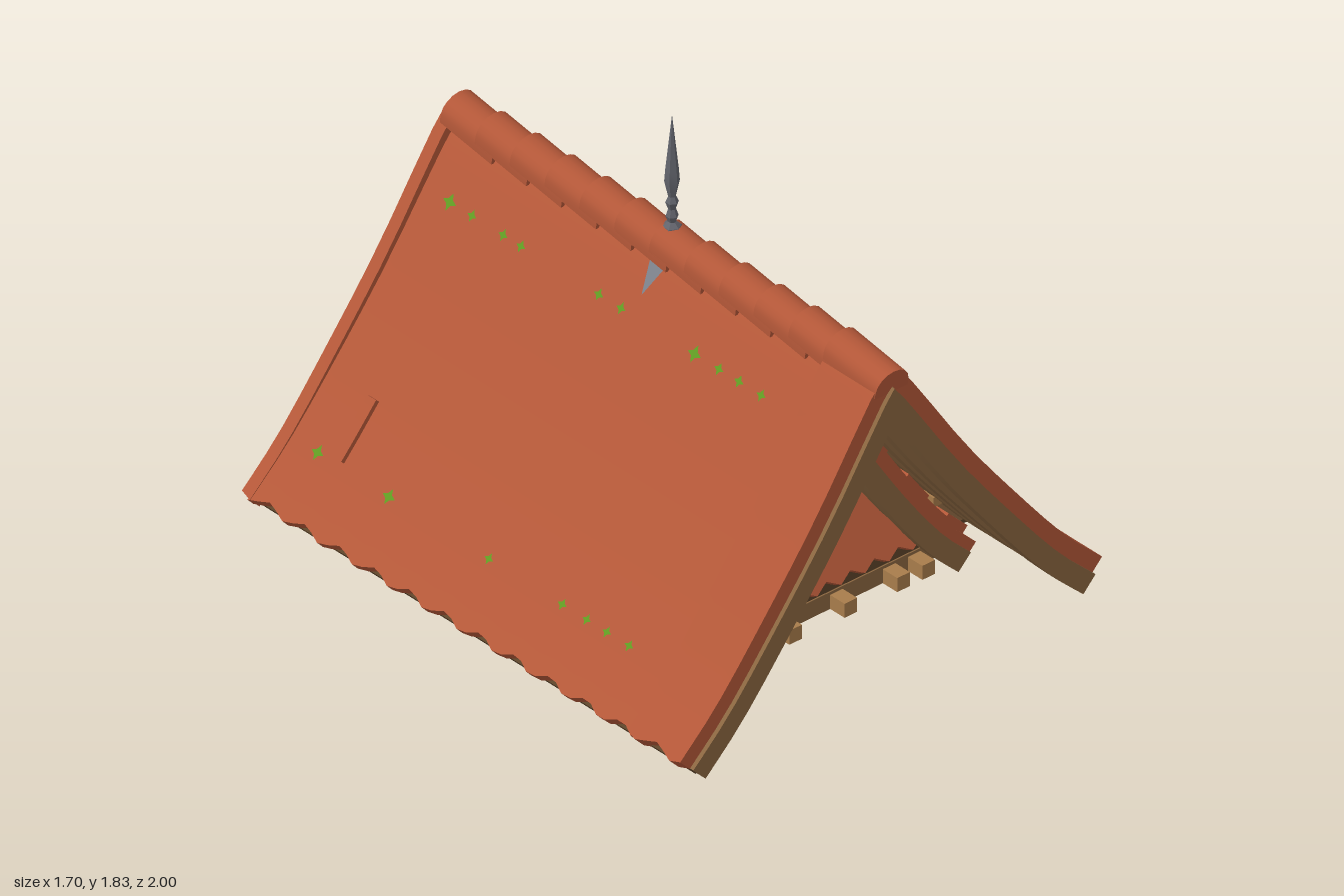
import * as THREE from 'three';
import { toCreasedNormals, mergeGeometries } from 'three/addons/utils/BufferGeometryUtils.js';

const mat = (name, color, side = THREE.FrontSide) => {
  const m = new THREE.MeshStandardMaterial({ color, side });
  m.name = name;
  return m;
};

export function createModel() {
  const model = new THREE.Group();
  const tile = mat('terracotta tile', 0xb35738);
  const wood = mat('wood', 0x8a6640);
  const lightWood = mat('light wood', 0xa87c4b);
  const darkWood = mat('dark wood', 0x5c4329);
  const metal = mat('iron', 0x62646c, THREE.DoubleSide);
  const plateMetal = mat('grey metal', 0x7a7f88, THREE.DoubleSide);
  const leaf = mat('ivy', 0x203b0a, THREE.DoubleSide);
  const moss = mat('moss', 0x5f9a22, THREE.DoubleSide);

  const add = (name, geo, material, parent = model) => {
    const m = new THREE.Mesh(geo, material);
    m.name = name;
    parent.add(m);
    return m;
  };
  const box = (name, w, h, d, x, y, z, material, parent) =>
    add(name, new THREE.BoxGeometry(w, h, d), material, parent).position.set(x, y, z);
  const curve = (...p) => new THREE.SplineCurve(p.map(([x, y]) => new THREE.Vector2(x, y)));

  // Point on a roof profile, shifted along its normal by d
  const offset = (prof, t, d) => {
    const p = prof.getPoint(t), g = prof.getTangent(t);
    let x = p.x - g.y * d, y = p.y + g.x * d;
    if (x < 0) { y -= (g.y / g.x) * x; x = 0; }
    return { x, y, g };
  };

  // Curved slab following a roof profile, between two depths, with optional scalloped eave
  function slab(prof, s, d0, d1, z0, z1, { wave = 0, period = 0.158, t0 = 0, t1 = 1 } = {}) {
    const n = 14, nz = wave ? Math.round((z1 - z0) / period * 4) : 1, L = 2 * (n + 1);
    const pos = [], idx = [];
    for (let j = 0; j <= nz; j++) {
      const z = z0 + (z1 - z0) * j / nz;
      for (let k = 0; k < L; k++) {
        const i = k <= n ? k : L - 1 - k;
        const q = offset(prof, t0 + (t1 - t0) * i / n, k <= n ? d1 : d0);
        const w = i === n ? wave * Math.cos(z / period * Math.PI * 2) : 0;
        pos.push(s * (q.x + q.g.x * w), q.y + q.g.y * w, z);
      }
    }
    const tri = (a, b, c) => (s > 0 ? idx.push(a, b, c) : idx.push(a, c, b));
    for (let j = 0; j < nz; j++) for (let k = 0; k < L; k++) {
      const a = j * L + k, b = j * L + (k + 1) % L;
      tri(a, a + L, b + L); tri(a, b + L, b);
    }
    const e = nz * L;
    for (let i = 0; i < n; i++) {
      const u = L - 1 - i;
      tri(e + i, e + u, e + u - 1); tri(e + i, e + u - 1, e + i + 1);
      tri(i, u - 1, u); tri(i, i + 1, u - 1);
    }
    const g = new THREE.BufferGeometry();
    g.setAttribute('position', new THREE.Float32BufferAttribute(pos, 3));
    g.setIndex(idx);
    return toCreasedNormals(g, 0.5);
  }

  // Profiles: raised verges, the slightly sunken field between them, and the inner roof
  const verge = curve([0, 1.41], [0.07, 1.35], [0.3, 1.01], [0.5, 0.75], [0.69, 0.52], [0.84, 0.375]);
  const field = curve([0, 1.375], [0.07, 1.305], [0.3, 0.98], [0.5, 0.73], [0.69, 0.512], [0.84, 0.372]);
  const inner = curve([0, 1.16], [0.05, 1.12], [0.2, 0.885], [0.33, 0.69], [0.46, 0.52], [0.57, 0.41]);
  const atHeight = (prof, y) => {
    let a = 0, b = 1;
    for (let i = 0; i < 25; i++) { const m = (a + b) / 2; prof.getPoint(m).y > y ? a = m : b = m; }
    return a;
  };

  const star = new THREE.Shape();
  for (let i = 0; i < 8; i++) {
    const r = i % 2 ? 0.011 : 0.024, a = i * Math.PI / 4;
    star[i ? 'lineTo' : 'moveTo'](r * Math.cos(a), r * Math.sin(a));
  }
  const starGeo = new THREE.ShapeGeometry(star);

  for (const s of [1, -1]) {
    // Outer roof: tiles, boarding, rafters, barge boards
    add('outerTiles', slab(field, s, -0.035, 0, -0.95, 0.77, { wave: 0.014 }), tile);
    add('frontVergeTiles', slab(verge, s, -0.055, 0, 0.75, 0.985, { wave: 0.014 }), tile);
    add('backVergeTiles', slab(verge, s, -0.055, 0, -0.985, -0.94, { wave: 0.014 }), tile);
    add('slippedTile', slab(field, s, -0.01, 0.016, -0.755, -0.715, { t0: atHeight(field, 0.69), t1: atHeight(field, 0.53) }), tile);
    add('outerBoarding', slab(field, s, -0.06, -0.035, -0.97, 0.97), darkWood);
    add('eaveFascia', slab(field, s, -0.11, -0.055, -0.97, 0.97, { t0: 0.96 }), darkWood);
    for (const e of [1, -1]) {
      for (const z of [0.64, 0.745, 0.85])
        add('rafter', slab(field, s, -0.116, -0.058, e * z - 0.025, e * z + 0.025), wood);
      add('outerBargeBoard', slab(verge, s, -0.125, -0.055, e * 0.97 - 0.03, e * 0.97 + 0.03), wood);
      add('innerBargeBoard', slab(inner, s, -0.1, -0.03, e * 0.7 - 0.025, e * 0.7 + 0.025), wood);
      add('innerRafter', slab(inner, s, -0.085, -0.045, e * 0.6 - 0.02, e * 0.6 + 0.02), wood);
    }
    // Inner roof with overlapping courses
    add('innerTiles', slab(inner, s, -0.03, 0.005, -0.715, 0.715, { wave: 0.01, period: 0.1 }), tile);
    for (let i = 0; i < 7; i++)
      add('innerCourse', slab(inner, s, 0, i % 2 ? 0.024 : 0.034, -0.69, 0.69, { t0: 0.06 + i * 0.125, t1: 0.185 + i * 0.125 }), tile);
    add('innerBoarding', slab(inner, s, -0.045, -0.03, -0.68, 0.68), darkWood);
    box('soffit', 0.15, 0.015, 1.24, s * 0.59, 0.42, 0, darkWood);
    for (const z of [0.62, -0.62]) box('strutEnd', 0.05, 0.035, 0.05, s * 0.495, 0.56, z, lightWood);

    // Moss tufts on the slopes
    const tuft = (y, z, k) => {
      const q = offset(field, atHeight(field, y), 0.005);
      const g = new THREE.Group();
      g.name = 'mossTuft';
      g.position.set(s * q.x, q.y, z);
      g.rotation.z = s * Math.atan2(q.g.y, q.g.x);
      add('moss', starGeo, moss, g).rotation.x = -Math.PI / 2;
      g.scale.setScalar(k);
      model.add(g);
    };
    [0.58, 0.48, 0.39, 0.28, -0.05, -0.15, -0.5, -0.58, -0.72, -0.82].forEach((z, i) => {
      tuft(1.185, z, [3, 9].includes(i) ? 1.2 : 0.85);
      if (![5, 7, 8].includes(i)) tuft(0.52, z, [6, 9].includes(i) ? 1.1 : 0.8);
    });

    // Pointed metal flashing below the ridge
    const tip = offset(field, atHeight(field, 1.24), 0.006), top = offset(field, atHeight(field, 1.345), 0.006);
    const pl = new THREE.BufferGeometry();
    pl.setAttribute('position', new THREE.Float32BufferAttribute(
      [s * top.x, top.y, -0.042, s * top.x, top.y, 0.042, s * tip.x, tip.y, 0], 3));
    pl.computeVertexNormals();
    add('flashing', pl, plateMetal);
  }

  // Overlapping tilted ridge caps
  const capGeo = (r, len) => {
    const sh = new THREE.Shape();
    sh.moveTo(-r, -0.03);
    for (let i = 0; i <= 8; i++) sh.lineTo(-r * Math.cos(i * Math.PI / 8), r * Math.sin(i * Math.PI / 8) * 0.9);
    sh.lineTo(r, -0.03);
    const g = new THREE.ExtrudeGeometry(sh, { depth: len, bevelEnabled: false });
    return toCreasedNormals(g, 0.6);
  };
  const ridge = (name, r, len, step, count, z0, y) => {
    const g = capGeo(r, len);
    for (let k = 0; k < count; k++) {
      const c = add(name, g, tile);
      c.position.set(0, y, z0 + k * step);
      c.rotation.x = 0.16;
    }
  };
  ridge('outerRidgeCap', 0.066, 0.235, 0.1565, 12, -0.965, 1.388);
  ridge('innerRidgeCap', 0.062, 0.2, 0.132, 10, -0.7, 1.148);

  // Hipped tile faces and timber frame at both ends
  for (const e of [0, Math.PI]) {
    const end = new THREE.Group();
    end.name = 'gableEnd';
    end.rotation.y = e;
    model.add(end);
    const tilt = Math.atan2(0.34, 0.6), k = 1 / Math.cos(tilt), sh = new THREE.Shape();
    sh.moveTo(0, 0.61 * k);
    [[-0.08, 0.5], [-0.2, 0.33], [-0.33, 0.13], [-0.43, 0]].forEach(([x, y]) => sh.lineTo(x, y * k));
    for (let i = 1; i < 36; i++) sh.lineTo(-0.43 + i * 0.86 / 36, 0.014 * Math.cos(i * Math.PI / 2) - 0.002);
    [[0.43, 0], [0.33, 0.13], [0.2, 0.33], [0.08, 0.5]].forEach(([x, y]) => sh.lineTo(x, y * k));
    const hip = add('hipTiles', new THREE.ExtrudeGeometry(sh, { depth: 0.03, bevelEnabled: false }), tile, end);
    hip.position.set(0, 0.435, 0.62);
    hip.rotation.x = -tilt;
    const back = add('hipBoarding', new THREE.ExtrudeGeometry(sh, { depth: 0.012, bevelEnabled: false }), darkWood, end);
    back.position.set(0, 0.43, 0.605);
    back.rotation.x = -tilt;
    for (const x of [-0.05, 0.045]) {
      const m = add('hipMoss', starGeo, moss, end);
      m.position.set(x, 0.905, 0.62 - 0.47 * 0.34 / 0.6 + 0.042);
      m.rotation.x = -tilt;
    }
    box('wallPlate', 0.9, 0.06, 0.04, 0, 0.418, 0.59, darkWood, end);
    box('endBeam', 1.07, 0.06, 0.07, 0, 0.365, 0.58, wood, end);
    for (const x of [-0.42, -0.32, -0.11, 0.11, 0.32, 0.42])
      box('joistEnd', 0.05, 0.05, 0.16, x, 0.36, 0.6, lightWood, end);
    box('sideBeam', 0.07, 0.06, 1.2, 0.49, 0.365, 0, wood, end);
    for (let i = 0; i < 7; i++) box('sideJoistEnd', 0.14, 0.045, 0.05, 0.48, 0.365, -0.48 + i * 0.16, lightWood, end);
    box('crossBeam', 0.98, 0.05, 0.06, 0, 0.375, 0.22, wood, end);
  }

  // Finial on the ridge
  const fin = [[0.035, 1.4], [0.03, 1.44], [0.013, 1.455], [0.02, 1.475], [0.012, 1.5], [0.021, 1.525],
    [0.012, 1.545], [0.024, 1.6], [0.021, 1.64], [0, 1.835]].map(([x, y]) => new THREE.Vector2(x, y));
  add('finial', toCreasedNormals(new THREE.LatheGeometry(fin, 6), 0.3), metal);
  const gusset = new THREE.Shape([[-0.11, 1.08], [0.11, 1.08], [0, 1.25]].map(([x, y]) => new THREE.Vector2(x, y)));
  add('finialGusset', new THREE.ExtrudeGeometry(gusset, { depth: 0.05, bevelEnabled: false }), plateMetal).position.z = -0.025;

  // Hanging ivy: a leafy clump with two trailing strands
  let seed = 7;
  const rnd = () => (seed = (seed * 16807) % 2147483647) / 2147483647;
  const leaves = [];
  const addLeaf = (x, y, size) => {
    const g = new THREE.CircleGeometry(size, 3);
    g.rotateZ(rnd() * 6.28);
    g.rotateY((rnd() - 0.5) * 1.4);
    g.translate(x, Math.max(y, size), (rnd() - 0.5) * 0.035);
    leaves.push(g);
  };
  for (let i = 0; i < 34; i++) addLeaf(-0.22 + rnd() * 0.35, 0.29 + rnd() * 0.25, 0.055);
  for (let i = 0; i < 18; i++) addLeaf(-0.02 + rnd() * 0.13, 0.16 + rnd() * 0.15, 0.05);
  for (let i = 0; i < 10; i++) addLeaf(-0.15 + rnd() * 0.06, 0.22 + rnd() * 0.1, 0.05);
  for (const [x, low] of [[-0.14, 0.05], [0.03, 0.015]])
    for (let i = 0; i < 20; i++)
      addLeaf(x + (rnd() - 0.5) * 0.03, low + i * 0.014, 0.018 + i * 0.0008);
  add('hangingIvy', mergeGeometries(leaves), leaf);

  return model;
}
